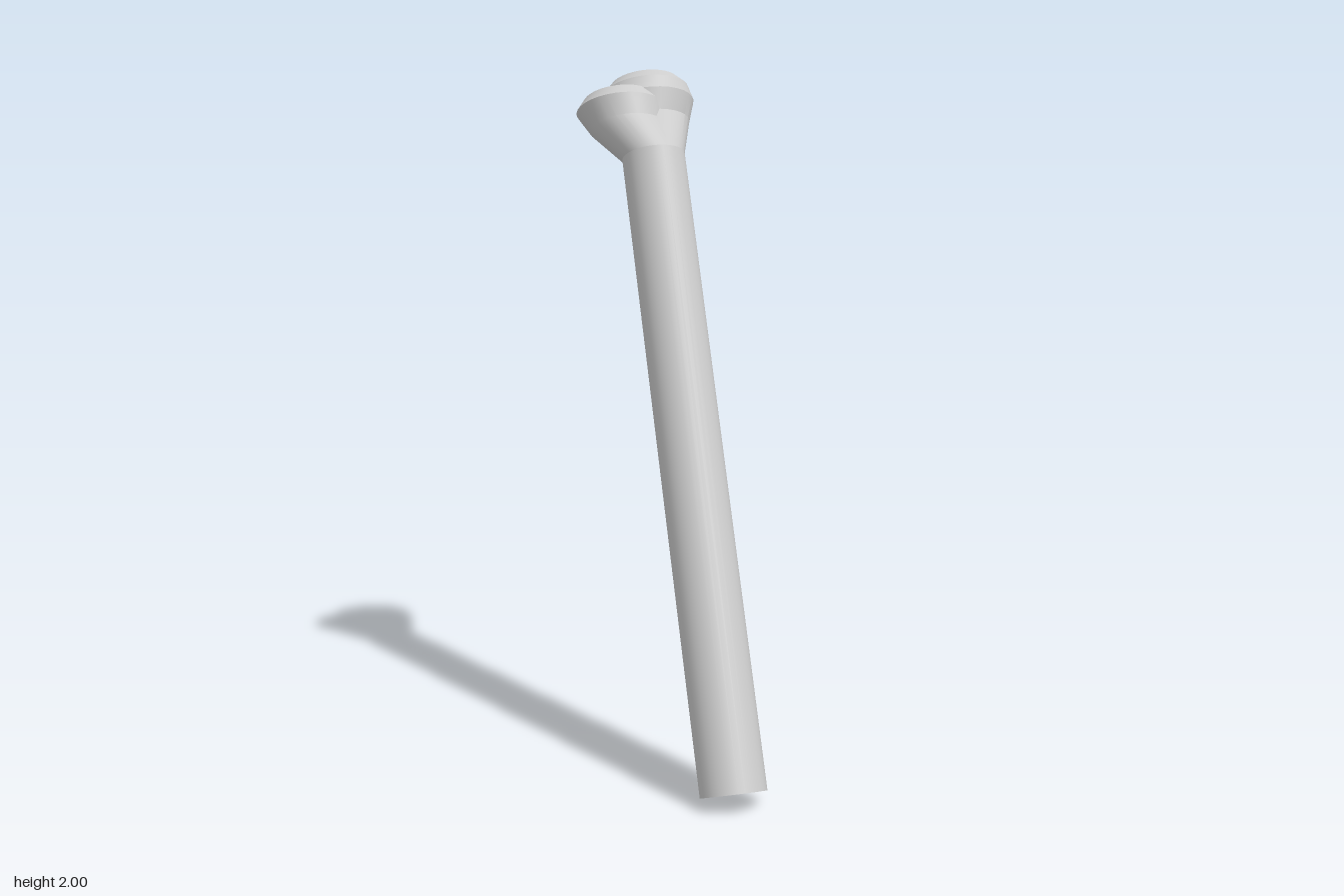
import * as THREE from 'three';
import { toCreasedNormals } from 'three/addons/utils/BufferGeometryUtils.js';

const SIDES = 32;
const axis = new THREE.Vector3(-0.08, 0.932, -0.358).normalize();
const across = new THREE.Vector3(1, 0, 0).addScaledVector(axis, -axis.x).normalize();
const forward = new THREE.Vector3().crossVectors(across, axis);

// Skin a stack of circles [x, y, z, radius], bottom to top, all square to the shaft axis
function loft(rings, capBottom, capTop) {
  const pos = [], index = [];
  rings.forEach(([x, y, z, r]) => {
    for (let j = 0; j < SIDES; j++) {
      const a = (j / SIDES) * Math.PI * 2;
      const p = new THREE.Vector3(x, y, z)
        .addScaledVector(across, r * Math.cos(a))
        .addScaledVector(forward, r * Math.sin(a));
      pos.push(p.x, p.y, p.z);
    }
  });
  for (let i = 0; i < rings.length - 1; i++) {
    for (let j = 0; j < SIDES; j++) {
      const k = (j + 1) % SIDES;
      const a = i * SIDES + j, b = i * SIDES + k;
      index.push(a, a + SIDES, b, b, a + SIDES, b + SIDES);
    }
  }
  const cap = (row, up) => {
    const c = pos.length / 3;
    pos.push(...rings[row].slice(0, 3));
    for (let j = 0; j < SIDES; j++) {
      const a = row * SIDES + j, b = row * SIDES + (j + 1) % SIDES;
      if (up) index.push(c, b, a);
      else index.push(c, a, b);
    }
  };
  if (capBottom) cap(0, false);
  if (capTop) cap(rings.length - 1, true);
  const geo = new THREE.BufferGeometry();
  geo.setAttribute('position', new THREE.Float32BufferAttribute(pos, 3));
  geo.setIndex(index);
  return toCreasedNormals(geo, 0.35);
}

export function createModel() {
  const group = new THREE.Group();
  const material = new THREE.MeshStandardMaterial({ color: 0xcccccc });
  const add = (name, geo) => {
    const mesh = new THREE.Mesh(geo, material);
    mesh.name = name;
    group.add(mesh);
  };
  const neck = [-0.012, 1.74, -0.205, 0.092];

  // Long leaning shaft
  add('shaft', loft([[0.135, 0.034, 0.44, 0.092], neck], true, false));

  // Larger rounded knob, leaning back
  add('largeKnob', loft([
    neck,
    [-0.012, 1.835, -0.365, 0.126],
    [-0.012, 1.895, -0.393, 0.142],
    [-0.014, 1.935, -0.41, 0.13],
    [-0.017, 1.962, -0.42, 0.103],
  ], false, true));

  // Smaller knob, offset to the side and set lower
  add('smallKnob', loft([
    neck,
    [-0.08, 1.825, -0.295, 0.112],
    [-0.1, 1.88, -0.328, 0.13],
    [-0.102, 1.912, -0.342, 0.105],
  ], false, true));

  return group;
}
